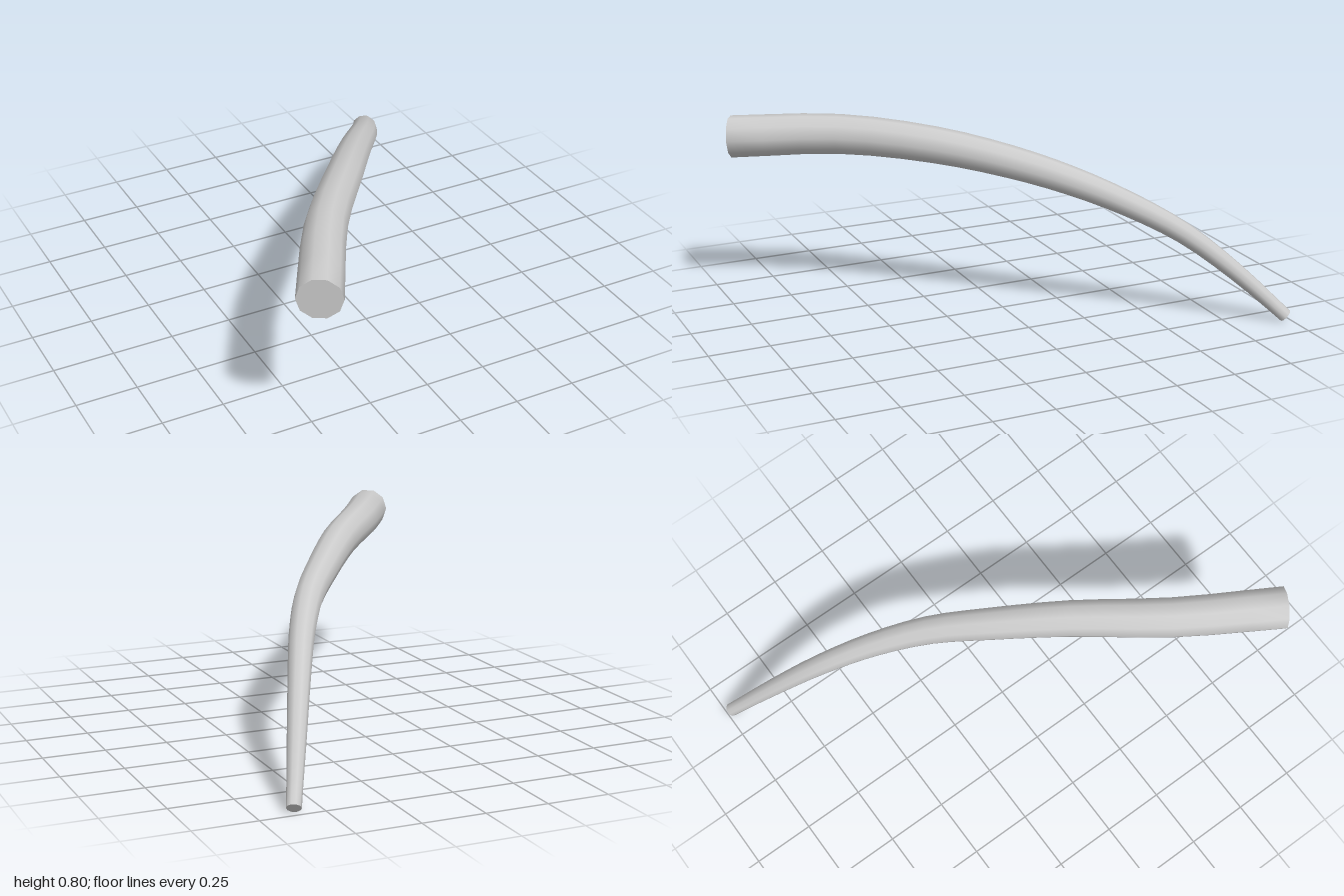
import * as THREE from 'three';

const SIDES = 10, STEPS = 24;

// Centre line stations: x, y, z, radius (thick root to thin tip)
const STATIONS = [
  [-0.567, 0.698, 0.957, 0.086],
  [-0.345, 0.72, 0.57, 0.081],
  [-0.105, 0.698, 0.25, 0.074],
  [0.077, 0.645, 0.0, 0.066],
  [0.222, 0.58, -0.2, 0.058],
  [0.336, 0.488, -0.4, 0.05],
  [0.432, 0.368, -0.6, 0.043],
  [0.522, 0.207, -0.79, 0.036],
  [0.613, 0.018, -0.979, 0.028],
];

export function createModel() {
  const group = new THREE.Group();
  group.name = 'taperedHorn';
  const material = new THREE.MeshStandardMaterial({ color: 0xcccccc });
  const path = new THREE.CatmullRomCurve3(STATIONS.map(([x, y, z]) => new THREE.Vector3(x, y, z)));
  const radii = new THREE.SplineCurve(STATIONS.map((s, i) => new THREE.Vector2(i, s[3])));

  // Cross-sections kept level, so one axis always stays horizontal
  const rings = [];
  for (let i = 0; i <= STEPS; i++) {
    const t = i / STEPS;
    const centre = path.getPoint(t);
    const tangent = path.getTangent(t);
    const side = new THREE.Vector3().crossVectors(tangent, new THREE.Vector3(0, 1, 0)).normalize();
    const up = new THREE.Vector3().crossVectors(side, tangent);
    const r = radii.getPoint(t).y;
    const points = [];
    for (let j = 0; j < SIDES; j++) {
      const a = (j / SIDES) * Math.PI * 2;
      points.push(centre.clone().addScaledVector(side, r * Math.cos(a)).addScaledVector(up, r * Math.sin(a)));
    }
    rings.push(points);
  }

  const addMesh = (name, points, index) => {
    const geometry = new THREE.BufferGeometry().setFromPoints(points);
    geometry.setIndex(index);
    geometry.computeVertexNormals();
    const mesh = new THREE.Mesh(geometry, material);
    mesh.name = name;
    group.add(mesh);
  };

  // Smooth curved shaft
  const index = [];
  for (let i = 0; i < STEPS; i++) {
    for (let j = 0; j < SIDES; j++) {
      const a = i * SIDES + j, b = i * SIDES + ((j + 1) % SIDES);
      index.push(a, a + SIDES, b, b, a + SIDES, b + SIDES);
    }
  }
  addMesh('shaft', rings.flat(), index);

  // Flat ends
  const rootFan = [], tipFan = [];
  for (let j = 1; j < SIDES - 1; j++) {
    rootFan.push(0, j, j + 1);
    tipFan.push(0, j + 1, j);
  }
  addMesh('rootCap', rings[0], rootFan);
  addMesh('tipCap', rings[STEPS], tipFan);
  return group;
}
